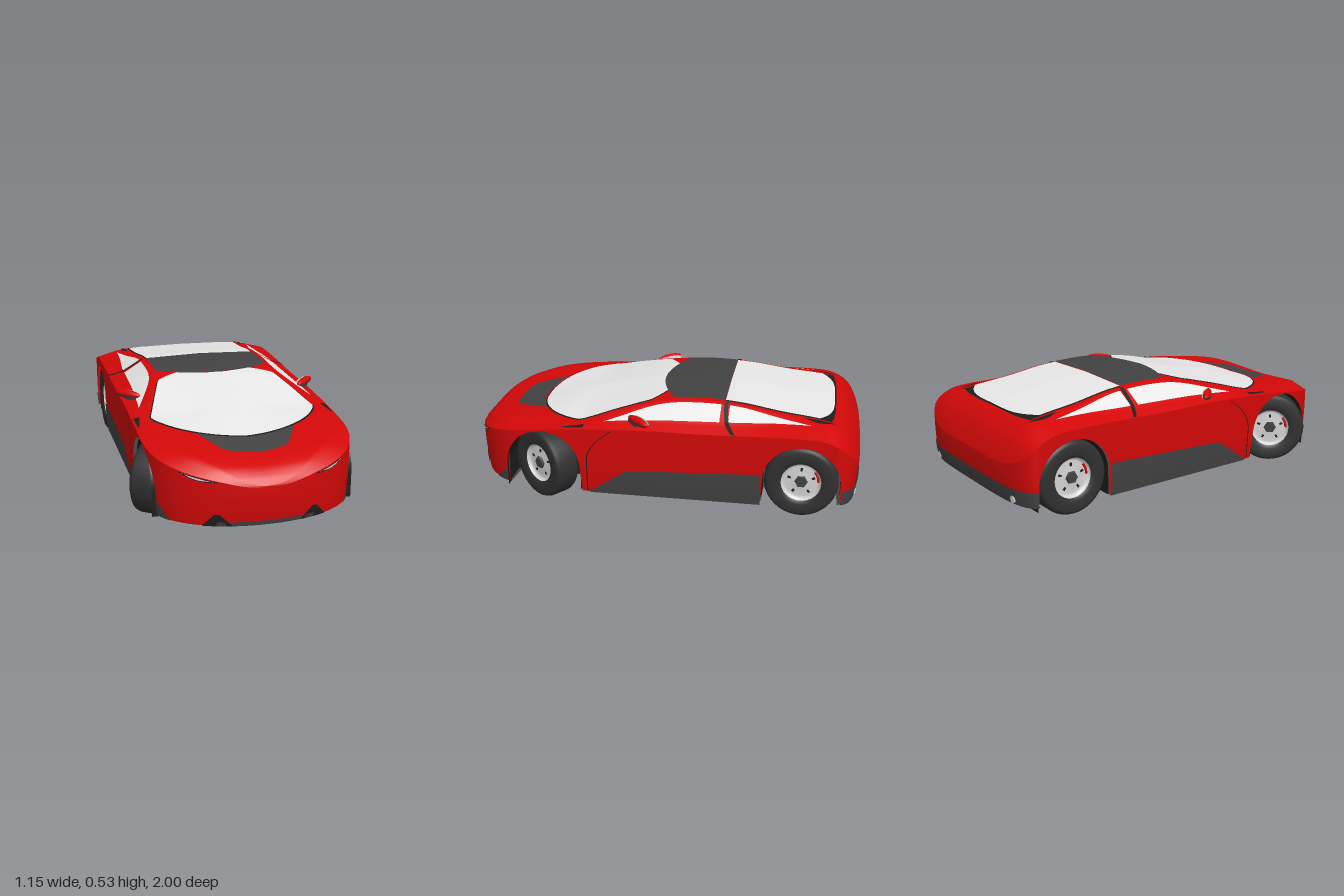
import * as THREE from 'three';

const paint = (name, color) => new THREE.MeshStandardMaterial({ name, color, side: THREE.DoubleSide });
const red = paint('red paint', 0xd40808);
const glass = paint('pale glass', 0xf0f0f0);
const dark = paint('dark grey panel', 0x424242);
const black = paint('black trim', 0x1e1e1e);
const rubber = paint('tyre rubber', 0x303030);
const alloy = paint('light alloy', 0xd4d4d4);

const { lerp, clamp } = THREE.MathUtils;
const REAR = { z: -0.718, r: 0.192 }, FRONT = { z: 0.57, r: 0.19 }, AXLE = 0.18;

// Half sections of the upper body: z, y at centre, x and y of roof rail, x and y of belt line, y of shoulder
const SECTIONS = [
  [-1.00, 0.262, 0.33, 0.262, 0.42, 0.26, 0.255],
  [-0.97, 0.33, 0.34, 0.327, 0.42, 0.32, 0.305],
  [-0.93, 0.39, 0.34, 0.386, 0.41, 0.378, 0.355],
  [-0.87, 0.44, 0.34, 0.435, 0.40, 0.426, 0.395],
  [-0.80, 0.458, 0.34, 0.452, 0.40, 0.441, 0.415],
  [-0.60, 0.487, 0.335, 0.475, 0.41, 0.447, 0.42],
  [-0.40, 0.515, 0.325, 0.505, 0.43, 0.445, 0.415],
  [-0.20, 0.524, 0.32, 0.515, 0.435, 0.44, 0.41],
  [0.00, 0.512, 0.325, 0.502, 0.44, 0.435, 0.41],
  [0.20, 0.475, 0.375, 0.458, 0.45, 0.425, 0.405],
  [0.38, 0.439, 0.42, 0.410, 0.455, 0.406, 0.395],
  [0.50, 0.413, 0.38, 0.401, 0.44, 0.397, 0.387],
  [0.66, 0.373, 0.27, 0.383, 0.41, 0.386, 0.368],
  [0.82, 0.346, 0.22, 0.357, 0.38, 0.366, 0.337],
  [0.92, 0.322, 0.20, 0.327, 0.35, 0.33, 0.305],
  [0.97, 0.293, 0.20, 0.293, 0.35, 0.292, 0.28],
  [1.00, 0.258, 0.20, 0.257, 0.35, 0.255, 0.25],
];

// Smooth interpolation through the section table
function lookup(z) {
  const n = SECTIONS.length - 1;
  let i = 0;
  while (i < n - 1 && z > SECTIONS[i + 1][0]) i++;
  const a = SECTIONS[i], b = SECTIONS[i + 1], p = SECTIONS[Math.max(0, i - 1)], q = SECTIONS[Math.min(n, i + 2)];
  const h = b[0] - a[0], t = clamp((z - a[0]) / h, 0, 1), t2 = t * t, t3 = t2 * t;
  return a.map((v, c) => {
    const m0 = (b[c] - p[c]) / (b[0] - p[0]) * h, m1 = (q[c] - v) / (q[0] - a[0]) * h;
    return (2 * t3 - 3 * t2 + 1) * v + (t3 - 2 * t2 + t) * m0 + (3 * t2 - 2 * t3) * b[c] + (t3 - t2) * m1;
  });
}

// Half width of the body in plan
function width(z) {
  if (z > 0.5) return 0.505 * Math.pow(Math.max(0, 1 - Math.pow((z - 0.5) / 0.5, 3.2)), 0.52);
  if (z < -0.88) return 0.505 * Math.pow(Math.max(0, 1 - Math.pow((-z - 0.88) / 0.12, 3)), 0.25);
  return 0.505;
}

function knots(z) {
  const s = lookup(z), w = width(z), k = w / 0.505;
  return { x: [0, s[2] * k, s[4] * k, w], y: [s[1], s[3], s[5], s[6]] };
}

// Point on the upper body, f = 0 centre, 1 rail, 2 belt, 3 shoulder
function across(f, z, lift = 0) {
  const k = knots(z), i = Math.min(2, Math.floor(f)), t = f - i;
  return [lerp(k.x[i], k.x[i + 1], t), lerp(k.y[i], k.y[i + 1], t) + lift, z];
}

// Point on the upper body by x and z
function onTop(x, z, lift = 0) {
  const k = knots(z), a = Math.abs(x);
  const i = a < k.x[1] ? 0 : a < k.x[2] ? 1 : 2;
  const t = clamp((a - k.x[i]) / (k.x[i + 1] - k.x[i] || 1), 0, 1);
  return [x, lerp(k.y[i], k.y[i + 1], t) + lift, z];
}

// Point on the flank, tucked in towards the bottom
function onSide(z, y, out = 0) {
  const q = Math.pow(Math.max(0, (0.25 - y) / 0.2), 2), end = Math.pow(Math.abs(z), 8), w = width(z);
  return [w * (1 - 0.025 * q) + out * w / 0.5, y, z * (1 - 0.025 * q * end) + out * Math.sign(z) * end];
}

const shoulder = (z) => lookup(z)[6];
const zLerp = (a, b, t) => -Math.cos(lerp(Math.acos(-a), Math.acos(-b), t));

// Lower edge of the flank with the wheel arches
function bottom(z) {
  for (const a of [REAR, FRONT]) {
    const d = z - a.z;
    if (Math.abs(d) < a.r) return AXLE + Math.sqrt(a.r * a.r - d * d);
  }
  return z > 0.75 ? 0.065 : z < -0.9 ? 0.085 : 0.055;
}

export function createModel() {
  const car = new THREE.Group();
  car.name = 'sportsCar';

  const add = (name, geometry, material, parent = car) => {
    const mesh = new THREE.Mesh(geometry, material);
    mesh.name = name;
    parent.add(mesh);
    return mesh;
  };
  // Surface patch from a rule of u and v in 0..1
  const patch = (name, material, nu, nv, rule) => {
    const g = new THREE.PlaneGeometry(1, 1, nu, nv), p = g.attributes.position;
    for (let i = 0; i < p.count; i++) p.setXYZ(i, ...rule(p.getX(i) + 0.5, p.getY(i) + 0.5));
    g.computeVertexNormals();
    add(name, g, material);
  };
  const pair = (name, material, nu, nv, rule) => {
    for (const s of [1, -1]) patch((s > 0 ? 'left' : 'right') + name, material, nu, nv, (u, v) => {
      const [x, y, z] = rule(u, v);
      return [s * x, y, z];
    });
  };
  // Thin plate on the flank between two heights
  const sidePlate = (name, material, z0, z1, low, high, out = 0.005) =>
    pair(name, material, 40, 4, (u, v) => {
      const z = zLerp(z0, z1, u);
      return onSide(z, lerp(low(z, u), high(z, u), v), out);
    });

  // Body shell and floor
  patch('upperBody', red, 24, 180, (u, v) => {
    const s = u * 2 - 1, [x, y, z] = across(Math.abs(s) * 3, zLerp(-1, 1, v));
    return [Math.sign(s) * x, y, z];
  });
  pair('Flank', red, 240, 10, (u, v) => {
    const z = zLerp(-1, 1, u);
    return onSide(z, lerp(Math.min(bottom(z), shoulder(z)), shoulder(z), v));
  });
  patch('floor', dark, 8, 240, (u, v) => {
    const z = zLerp(-0.995, 0.995, v);
    const nearWheel = [REAR, FRONT].some((a) => Math.abs(z - a.z) < a.r);
    const w = nearWheel ? 0.31 : width(z) * 0.972;
    return [(u * 2 - 1) * w, z > 0.6 ? 0.066 : 0.053 + Math.max(0, -0.6 - z) * 0.08, z * 0.98];
  });

  // Wheel wells: arched liner with straight legs, closed inside at the front
  for (const [a, end] of [[FRONT, 'Front'], [REAR, 'Rear']])
    pair(end + 'ArchLiner', black, 30, 1, (u, v) => {
      const t = clamp(u * 1.2 - 0.1, 0, 1), leg = Math.abs(u - 0.5) > 0.47;
      return [lerp(0.31, 0.488, v), leg ? 0.056 : AXLE + a.r * Math.sin(Math.PI * t), a.z + a.r * Math.cos(Math.PI * t)];
    });
  pair('FrontWellWall', black, 30, 1, (u, v) => [0.31,
    lerp(0.056, AXLE + FRONT.r * Math.sin(Math.PI * u), v), FRONT.z + FRONT.r * Math.cos(Math.PI * u)]);

  // Windscreen, roof panel and rear glass, each glass over a black seam
  const screenHalf = (z) => Math.min(0.295 + 0.31 * z, 0.43 * Math.sqrt(Math.max(0, 1 - Math.pow((z - 0.3) / 0.36, 2))));
  for (const [name, mat, pad, lift] of [['Seam', black, 0.007, 0.002], ['', glass, 0, 0.005]]) {
    patch('windscreen' + name, mat, 24, 50, (u, v) => {
      const s = u * 2 - 1, z = lerp(0.022 - 0.09 * s * s, 0.66, Math.sin(v * Math.PI / 2));
      return onTop(s * (screenHalf(z) + pad), z + pad * v, lift);
    });
    patch('rearGlass' + name, mat, 24, 30, (u, v) => {
      const s = u * 2 - 1, z = lerp(-0.86 - pad + (pad ? 0.02 : 0.07) * s ** 4, -0.325, v);
      return onTop(s * (0.30 + 0.05 * (-0.33 - z) + pad), z, lift);
    });
  }
  patch('roofPanel', dark, 20, 20, (u, v) => {
    const s = u * 2 - 1;
    return onTop(s * 0.303, lerp(-0.325, 0.022 - 0.09 * s * s, v), 0.007);
  });
  patch('bonnetPanel', dark, 24, 12, (u, v) => {
    const s = u * 2 - 1, x = s * lerp(0.24, 0.15, v);
    const base = 0.312 + 0.36 * Math.sqrt(1 - (x / 0.43) ** 2);
    return onTop(x, lerp(base, 0.82 - 0.03 * s * s, v), 0.005);
  });

  // Side windows, door pillar and small vents
  const sideGlass = (name, z0, z1, taper) => pair(name, glass, 24, 6, (u, v) => {
    const z = lerp(z0, z1, u);
    return across(1 + lerp(lerp(0.14, 0.95, taper(u)), 0.97, v), z, 0.004);
  });
  sideGlass('DoorWindow', -0.308, 0.26, (u) => u ** 4);
  sideGlass('QuarterWindow', -0.35, -0.75, (u) => u ** 2);
  pair('DoorPillar', black, 2, 20, (u, v) => across(lerp(1, 3, v), -0.322 - 0.05 * v * v - 0.02 * u, 0.004));
  pair('ShoulderVent', black, 8, 2, (u, v) => across(lerp(2.2 + 0.5 * u, 2.8, v), lerp(0.36, 0.47, u), 0.004));
  pair('RearVent', black, 8, 2, (u, v) => across(lerp(1.08, 1.1 + 0.4 * Math.sin(Math.PI * u), v), lerp(-0.72, -0.865, u), 0.004));

  // Lower trim on the flanks, nose and tail
  sidePlate('Sill', dark, -0.522, 0.33, () => 0.052,
    (z) => z > 0.14 ? lerp(0.19, 0.06, (z - 0.14) / 0.19) : 0.19 + (0.14 - z) * 0.045, 0.006);
  sidePlate('RearBumper', dark, -0.915, -1, () => 0.083, () => 0.16, 0.006);
  sidePlate('FrontLip', dark, 0.962, 1, () => 0.064, () => 0.085);
  sidePlate('NoseFang', black, 0.936, 0.982, () => 0.064, (z, u) => 0.066 + 0.058 * Math.min(1, 2.4 * Math.min(u, 1 - u)));
  sidePlate('NoseCorner', dark, 0.765, 0.84, () => 0.064, (z, u) => lerp(0.14, 0.07, u));
  pair('DoorSeam', black, 1, 24, (u, v) =>
    onSide(0.34 - 0.9 * Math.max(0, v - 0.5) ** 2 * 0.56 + 0.005 * u, lerp(0.06, 0.395, v), 0.003));

  // Slim headlights under the bonnet edge
  const slit = (pad) => [
    (z, u) => shoulder(z) - 0.004 - pad - 0.012 * Math.sin(Math.PI * u), (z) => shoulder(z) - 0.004 + pad / 2];
  sidePlate('HeadlightSurround', black, 0.878, 0.963, ...slit(0.002), 0.004);
  sidePlate('Headlight', alloy, 0.888, 0.957, ...slit(-0.002), 0.007);

  // Exhaust tips
  for (const s of [1, -1]) {
    const tip = add('exhaustTip', new THREE.CylinderGeometry(0.018, 0.018, 0.05, 16), alloy);
    tip.rotation.x = Math.PI / 2;
    tip.position.set(s * 0.38, 0.105, -0.958);
  }

  // Door mirrors
  for (const s of [1, -1]) {
    const mirror = new THREE.Group();
    mirror.name = s > 0 ? 'leftMirror' : 'rightMirror';
    mirror.position.set(s * 0.478, 0.447, 0.085);
    mirror.rotation.y = s * 0.8;
    car.add(mirror);
    const shape = (from, span) => new THREE.SphereGeometry(1, 20, 12, 0, Math.PI * 2, from, span).scale(0.078, 0.021, 0.02);
    add('mirrorCap', shape(0, Math.PI * 0.55), red, mirror);
    add('mirrorBase', shape(Math.PI * 0.55, Math.PI * 0.45), dark, mirror);
    const face = add('mirrorGlass', new THREE.CircleGeometry(1, 20).scale(0.064, 0.016, 1), glass, mirror);
    face.position.z = -0.021;
    const stem = add('mirrorStem', new THREE.BoxGeometry(0.065, 0.026, 0.03), dark, mirror);
    stem.position.set(-s * 0.03, -0.014, 0);
  }

  // Wheels, the front pair steered
  const lathe = (points) => new THREE.LatheGeometry(points.map((p) => new THREE.Vector2(...p)), 40).rotateZ(-Math.PI / 2);
  const tyre = lathe([[0.095, -0.06], [0.12, -0.066], [0.16, -0.066], [0.174, -0.058], [0.18, -0.042],
    [0.18, 0.042], [0.174, 0.058], [0.16, 0.066], [0.115, 0.066], [0.098, 0.055]]);
  const rim = lathe([[0.099, 0.055], [0.093, 0.042], [0.08, 0.034], [0.04, 0.042], [0, 0.042]]);
  const back = lathe([[0, -0.03], [0.09, -0.03], [0.095, -0.06]]);
  const wheel = (name, x, z, turn) => {
    const g = new THREE.Group();
    g.name = name;
    g.position.set(x, AXLE, z);
    g.rotation.y = turn + (x < 0 ? Math.PI : 0);
    car.add(g);
    add('tyre', tyre, rubber, g);
    add('rim', rim, alloy, g);
    add('rimBack', back, dark, g);
    add('hub', new THREE.CylinderGeometry(0.028, 0.034, 0.016, 6).rotateZ(-Math.PI / 2), dark, g).position.x = 0.046;
    for (let i = 0; i < 5; i++) {
      const slot = new THREE.BoxGeometry(0.008, 0.016, 0.01).translate(0.037, 0.062, 0).rotateX(i * Math.PI * 0.4);
      add('rimSlot', slot, black, g);
    }
    add('brakeCaliper', new THREE.TorusGeometry(0.084, 0.006, 6, 12, 0.7).rotateY(Math.PI / 2), red, g).position.x = 0.04;
  };
  for (const s of [1, -1]) {
    const side = s > 0 ? 'left' : 'right';
    wheel(side + 'FrontWheel', s * 0.425, FRONT.z, -0.63);
    wheel(side + 'RearWheel', s * 0.425, REAR.z, 0);
  }
  return car;
}
